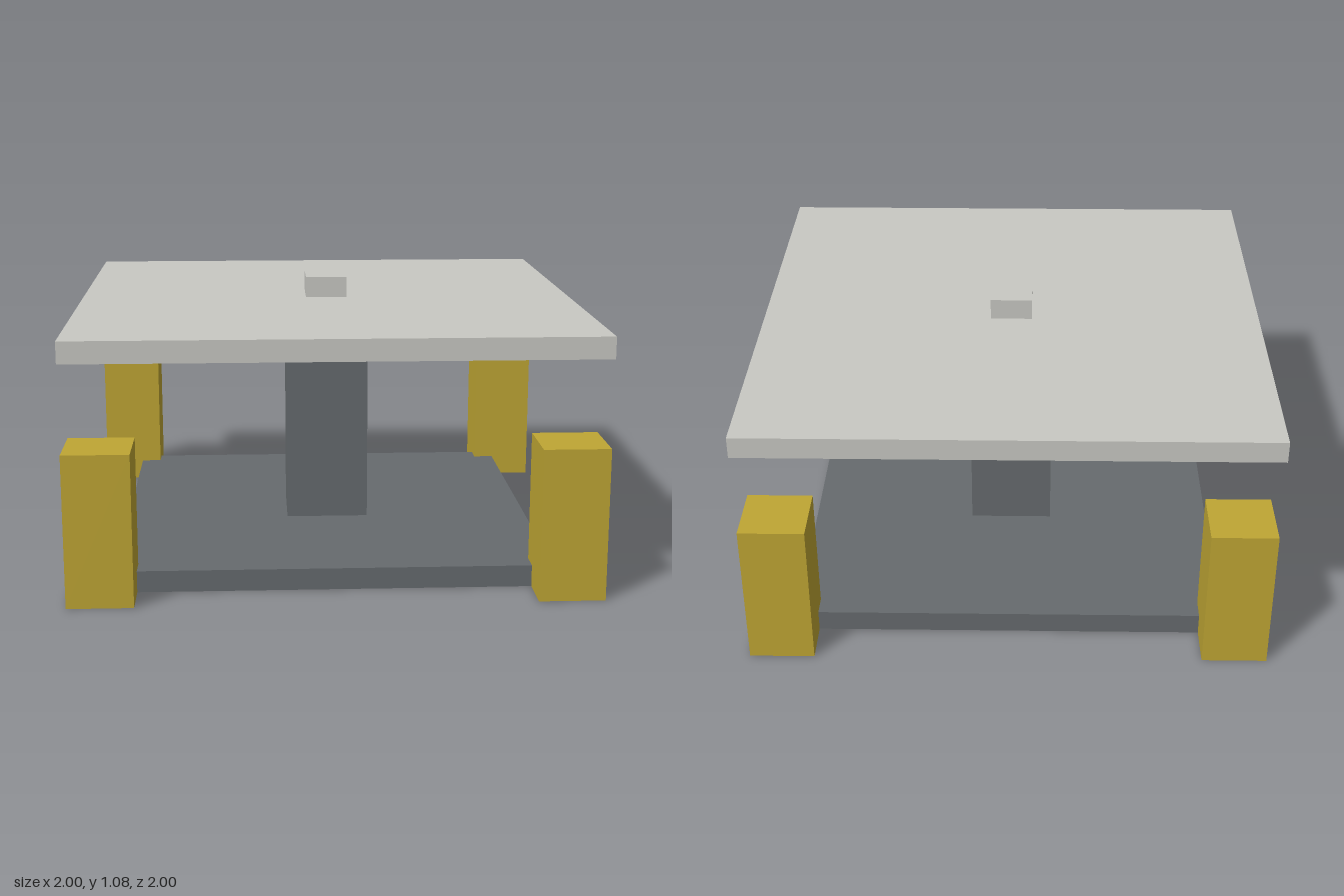
import * as THREE from 'three';

const UNIT = 1 / 12; // the model sits on a 24-unit grid

function makeMaterial(name, color) {
  const m = new THREE.MeshStandardMaterial({ color, side: THREE.DoubleSide });
  m.name = name;
  return m;
}

// Box standing on y0, sized in grid units; openBottom leaves out the underside
function block(name, material, w, h, d, x, y0, z, openBottom = false) {
  const geometry = new THREE.BoxGeometry(w * UNIT, h * UNIT, d * UNIT);
  if (openBottom) {
    const index = Array.from(geometry.index.array);
    index.splice(18, 6); // underside triangles
    geometry.setIndex(index);
    geometry.clearGroups();
  }
  const mesh = new THREE.Mesh(geometry, material);
  mesh.name = name;
  mesh.position.set(x * UNIT, (y0 + h / 2) * UNIT, z * UNIT);
  return mesh;
}

export function createModel() {
  const paleGrey = makeMaterial('paleGrey', 0xc8c8c3);
  const darkGrey = makeMaterial('darkGrey', 0x666b6e);
  const yellow = makeMaterial('yellow', 0xbfa634);

  const model = new THREE.Group();
  model.name = 'pedestalTable';

  // Hollow base tray, central column, top plate and knob
  model.add(
    block('base', darkGrey, 20, 1, 20, 0, 0, 0, true),
    block('column', darkGrey, 4, 10, 4, 0, 1, 0),
    block('topPlate', paleGrey, 24, 1, 24, 0, 11, 0),
    block('knob', paleGrey, 2, 1, 2, 0, 12, 0, true)
  );

  // Four hollow corner posts
  for (const [sx, side] of [[1, 'Left'], [-1, 'Right']]) {
    for (const [sz, end] of [[1, 'front'], [-1, 'back']]) {
      model.add(block(`${end}${side}Post`, yellow, 3, 7, 3, sx * 10.5, 0, sz * 10.5, true));
    }
  }
  return model;
}
